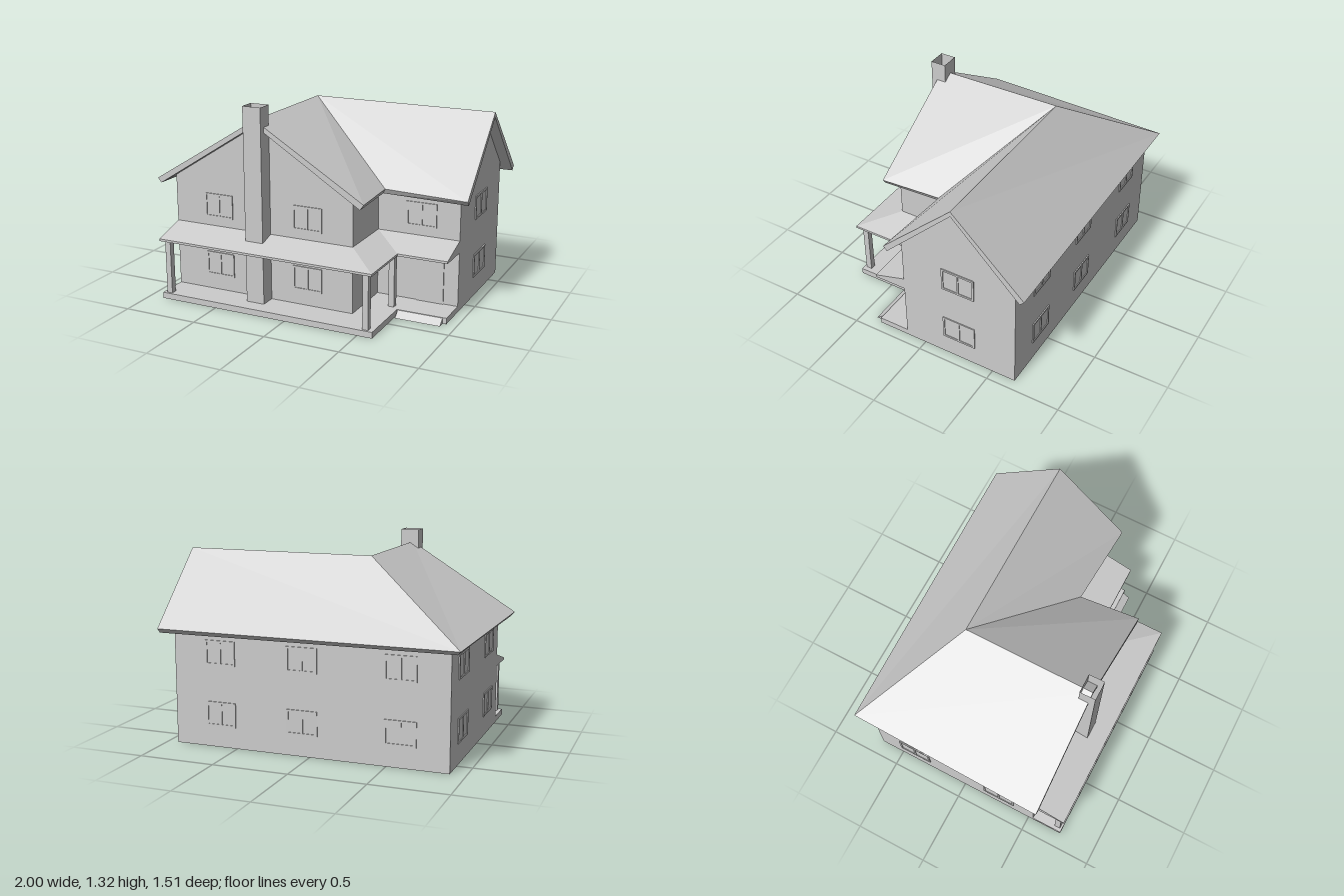
import * as THREE from 'three';

const grey = new THREE.MeshStandardMaterial({ color: 0xcccccc, side: THREE.DoubleSide });
grey.name = 'plain grey';

export function createModel() {
  const house = new THREE.Group();
  house.name = 'house';

  const add = (name, geometry, x = 0, y = 0, z = 0, parent = house) => {
    const mesh = new THREE.Mesh(geometry, grey);
    mesh.name = name;
    mesh.position.set(x, y, z);
    parent.add(mesh);
    return mesh;
  };

  // Convex faces, each a list of corner points, joined into one faceted geometry
  const faceted = (faces) => {
    const points = [];
    for (const f of faces) {
      for (let i = 1; i < f.length - 1; i++) points.push(...f[0], ...f[i], ...f[i + 1]);
    }
    const g = new THREE.BufferGeometry();
    g.setAttribute('position', new THREE.Float32BufferAttribute(points, 3));
    g.computeVertexNormals();
    return g;
  };
  // Upright rectangle between two plan points
  const upright = (x1, z1, x2, z2, y1, y2) => [[x1, y1, z1], [x2, y1, z2], [x2, y2, z2], [x1, y2, z1]];

  // Walls: L-shaped shell, open below, with two gables
  const L = -0.9, R = 0.93, W = 0.375, B = -0.66, M = 0.14, F = 0.535, T = 0.8;
  add('walls', faceted([
    upright(R, B, L, B, 0, T),
    upright(L, B, L, F, 0, T),
    upright(W, F, W, M, 0, T),
    upright(W, M, R, M, 0, T),
    [[L, 0, F], [W, 0, F], [W, T, F], [-0.265, 1.195, F], [L, T, F]],
    [[R, 0, M], [R, 0, B], [R, T, B], [R, 1.195, -0.265], [R, T, M]],
  ]));

  // Main roof: hip at the outer corner, valley at the inner one
  const top = [
    [-0.97, 0.76, -0.73], [1, 0.765, -0.755], [1, 1.23, -0.27], [1, 0.765, 0.225],
    [0.44, 0.77, 0.19], [0.475, 0.78, 0.6], [-0.265, 1.23, 0.6], [-1, 0.775, 0.6],
    [-0.265, 1.23, -0.272],
  ];
  const under = [
    [-0.945, 0.735, -0.705], [1, 0.735, -0.725], [1, 1.195, -0.27], [1, 0.735, 0.2],
    [0.42, 0.735, 0.17], [0.45, 0.745, 0.6], [-0.265, 1.195, 0.6], [-0.975, 0.745, 0.6],
    [-0.265, 1.195, -0.272],
  ];
  const slopes = [[0, 8, 2, 1], [0, 7, 6, 8], [8, 6, 5, 4], [8, 4, 3, 2]];
  const roof = [];
  for (const s of slopes) {
    roof.push(s.map((i) => top[i]), s.map((i) => under[i]).reverse());
  }
  for (let i = 0; i < 8; i++) {
    const j = (i + 1) % 8;
    roof.push([top[i], top[j], under[j], under[i]]);
  }
  add('mainRoof', faceted(roof));

  // Chimney: hollow square shaft, open at both ends
  const c = [[-0.325, 0.64], [-0.2, 0.64], [-0.2, F], [-0.325, F]];
  add('chimney', faceted(c.map((p, i) => upright(...p, ...c[(i + 1) % 4], 0, 1.32))));

  // Porch floor, notched around the chimney
  const plan = [
    [L, F], [L, 0.745], [0.6, 0.745], [0.6, 0.35], [R, 0.35], [R, M], [W, M], [W, F],
    [-0.2, F], [-0.2, 0.64], [-0.325, 0.64], [-0.325, F],
  ].map((p) => new THREE.Vector2(...p));
  const floor = new THREE.ExtrudeGeometry(new THREE.Shape(plan), { depth: 0.04, bevelEnabled: false });
  floor.rotateX(Math.PI / 2);
  add('porchFloor', floor, 0, 0.04, 0);

  // Sloping entrance step
  const s1 = 0.605, s2 = 0.905;
  add('entranceStep', faceted([
    [[s1, 0, 0.4], [s2, 0, 0.4], [s2, 0.04, 0.345], [s1, 0.04, 0.345]],
    [[s1, 0, 0.345], [s1, 0, 0.4], [s1, 0.04, 0.345]],
    [[s2, 0, 0.4], [s2, 0, 0.345], [s2, 0.04, 0.345]],
    [[s1, 0, 0.345], [s2, 0, 0.345], [s2, 0, 0.4], [s1, 0, 0.4]],
  ]));

  // Porch roof: three slopes following the walls, with fascia and soffit
  const wallLine = [[L, F], [W, F], [W, M], [R, M]];
  const eaveLine = [[L, 0.758], [0.6, 0.758], [0.6, 0.36], [R, 0.36]];
  const at = ([x, z], y) => [x, y, z];
  const porch = [];
  for (let i = 0; i < 3; i++) {
    const [a, b, d, e] = [wallLine[i], wallLine[i + 1], eaveLine[i + 1], eaveLine[i]];
    porch.push(
      [at(e, 0.415), at(d, 0.415), at(b, 0.48), at(a, 0.48)],
      [at(e, 0.4), at(d, 0.4), at(d, 0.415), at(e, 0.415)],
      [at(a, 0.4), at(b, 0.4), at(d, 0.4), at(e, 0.4)],
    );
  }
  for (const i of [0, 3]) {
    porch.push([at(wallLine[i], 0.4), at(eaveLine[i], 0.4), at(eaveLine[i], 0.415), at(wallLine[i], 0.48)]);
  }
  add('porchRoof', faceted(porch));

  // Porch posts
  for (const [x, z] of [[-0.857, 0.71], [0.548, 0.71], [0.548, 0.305]]) {
    add('porchPost', new THREE.BoxGeometry(0.038, 0.36, 0.04), x, 0.22, z);
  }

  // Front door
  add('frontDoor', new THREE.BoxGeometry(0.185, 0.3, 0.009), 0.74, 0.19, M + 0.003);

  // Windows: frame with two openings and a thin pane
  const rect = (Kind, x, y, w, h) => new Kind([[x, y], [x + w, y], [x + w, y + h], [x, y + h]]
    .map((p) => new THREE.Vector2(...p)));
  const addWindow = (w, x, y, z, turn) => {
    const h = 0.16, rim = 0.013;
    const sash = (w - 3 * rim) / 2;
    const shape = rect(THREE.Shape, -w / 2, -h / 2, w, h);
    for (const left of [-w / 2 + rim, rim / 2]) {
      shape.holes.push(rect(THREE.Path, left, -h / 2 + rim, sash, h - 2 * rim));
    }
    const group = new THREE.Group();
    group.name = 'window';
    group.position.set(x, y, z);
    group.rotation.y = turn;
    add('windowFrame', new THREE.ExtrudeGeometry(shape, { depth: 0.014, bevelEnabled: false }), 0, 0, -0.007, group);
    add('windowPane', new THREE.BoxGeometry(w - rim, h - rim, 0.004), 0, 0, 0, group);
    house.add(group);
  };
  for (const y of [0.218, 0.618]) {
    for (const x of [-0.578, 0.062]) addWindow(0.205, x, y, F, 0);
    for (const x of [-0.59, 0.05, 0.608]) addWindow(0.205, x, y, B, Math.PI);
    for (const z of [-0.38, 0.27]) addWindow(0.23, L, y, z, -Math.PI / 2);
    addWindow(0.23, R, y, -0.26, Math.PI / 2);
  }
  addWindow(0.205, 0.672, 0.618, M, 0);

  return house;
}
